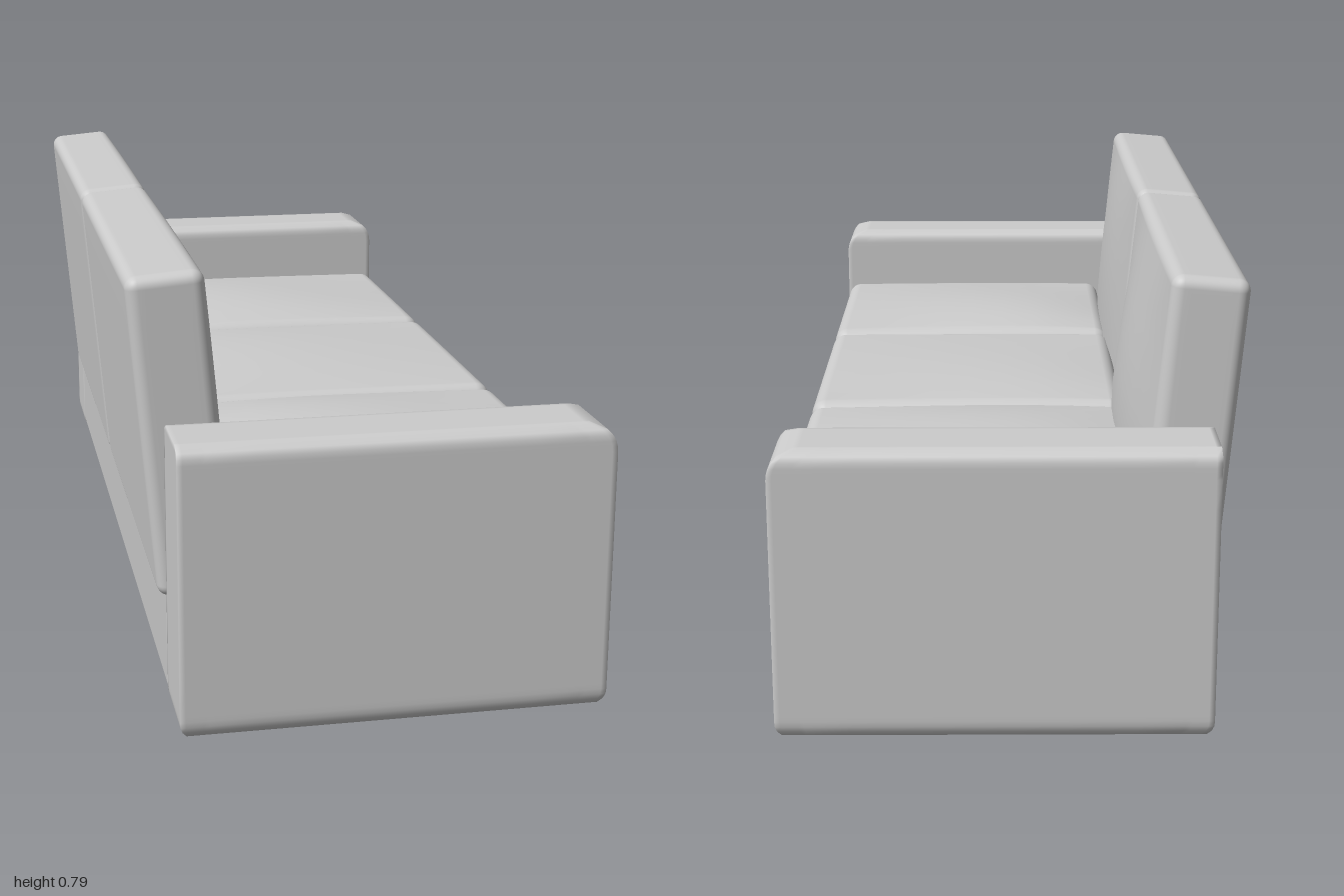
import * as THREE from 'three';
import { mergeVertices } from 'three/addons/utils/BufferGeometryUtils.js';

const material = new THREE.MeshStandardMaterial({ color: 0xcccccc, roughness: 0.8 });

// Block whose grid is dense within a band along its edges; shape(p, half) moves each point.
function gridBlock(size, band, shape) {
  const n = 18, edge = 5;
  const g = new THREE.BoxGeometry(1, 1, 1, n, n, n);
  g.deleteAttribute('uv');
  g.deleteAttribute('normal');
  const place = (t, half) => {
    const k = Math.round((t + 0.5) * n);
    if (k <= edge) return -half + band * k / edge;
    if (k >= n - edge) return half - band * (n - k) / edge;
    return (half - band) * (2 * (k - edge) / (n - 2 * edge) - 1);
  };
  const half = size.clone().multiplyScalar(0.5);
  const p = new THREE.Vector3();
  const pos = g.attributes.position;
  for (let i = 0; i < pos.count; i++) {
    p.fromBufferAttribute(pos, i);
    p.set(place(p.x, half.x), place(p.y, half.y), place(p.z, half.z));
    shape(p, half);
    pos.setXYZ(i, p.x, p.y, p.z);
  }
  const merged = mergeVertices(g, 1e-5);
  merged.computeVertexNormals();
  return merged;
}

// Block with rounded edges; puff(p, u) may then push points outwards.
function cushionGeometry(size, radius, puff = () => {}) {
  const core = new THREE.Vector3();
  return gridBlock(size, radius, (p, half) => {
    const inner = half.clone().subScalar(radius);
    core.copy(p).clamp(inner.clone().negate(), inner);
    p.sub(core).setLength(radius).add(core);
    puff(p, p.clone().divide(half));
  });
}

// How far a rounded corner of radius r draws in at distance d from the end.
const inset = (d, r) => (d >= r ? 0 : r - Math.sqrt(Math.max(0, r * r - (r - d) ** 2)));

// Arm: rounded along the bottom, the long top edges and the front top corner.
function armGeometry() {
  const size = new THREE.Vector3(0.762, 0.53, 0.16);
  return gridBlock(size, 0.05, (p, half) => {
    const low = p.y + half.y, high = half.y - p.y;
    const bottom = inset(low, 0.038);
    const front = half.x - bottom - 0.9 * inset(high, 0.05);
    const back = -half.x + bottom;
    p.x = THREE.MathUtils.mapLinear(p.x, -half.x, half.x, back, front);
    p.z *= (half.z - 0.9 * bottom - inset(high, 0.024)) / half.z;
  });
}

export function createModel() {
  const sofa = new THREE.Group();
  sofa.name = 'sofa';
  const add = (name, geometry, x, y, z) => {
    const mesh = new THREE.Mesh(geometry, material);
    mesh.name = name;
    mesh.position.set(x, y, z);
    sofa.add(mesh);
    return mesh;
  };
  // Smooth swelling over a face, zero at its rim, with its peak moved by a and b
  const swell = (s, t, a, b) =>
    Math.max(0, 1 - s * s) * Math.max(0, 1 - t * t) * (1 + a * s) * (1 + b * t);

  // Base under the seat
  add('base', cushionGeometry(new THREE.Vector3(0.75, 0.26, 1.67), 0.012), 0.025, 0.155, 0);

  // Arms at both ends
  const arm = armGeometry();
  for (const side of [1, -1]) add(side > 0 ? 'armLeftEnd' : 'armRightEnd', arm, 0.03, 0.265, side * 0.92);

  // Three seat cushions, raised unevenly towards the back: z range, height, sideways lean
  const seats = [[0.298, 0.818, 0.024, -0.5], [-0.288, 0.294, 0.015, -0.4], [-0.818, -0.294, 0.025, 0.3]];
  seats.forEach(([z0, z1, height, lean], i) => {
    const g = cushionGeometry(new THREE.Vector3(0.64, 0.116, z1 - z0), 0.03, (p, u) => {
      if (p.y > 0) p.y += height * swell(u.x, u.z, -0.5, lean);
    });
    add(`seatCushion${i + 1}`, g, 0.085, 0.343, (z0 + z1) / 2);
  });

  // Two leaning back cushions with a bulging front: z range, bulge, downward lean
  const backs = [[-0.01, 0.837, 0.022, 0], [-0.835, -0.018, 0.038, -0.5]];
  backs.forEach(([z0, z1, bulge, lean], i) => {
    const g = cushionGeometry(new THREE.Vector3(0.138, 0.582, z1 - z0), 0.022, (p, u) => {
      if (p.x > 0) p.x += bulge * swell(u.y, u.z, lean, 0);
    });
    add(`backCushion${i + 1}`, g, -0.32, 0.496, (z0 + z1) / 2).rotation.z = 0.087;
  });
  return sofa;
}
